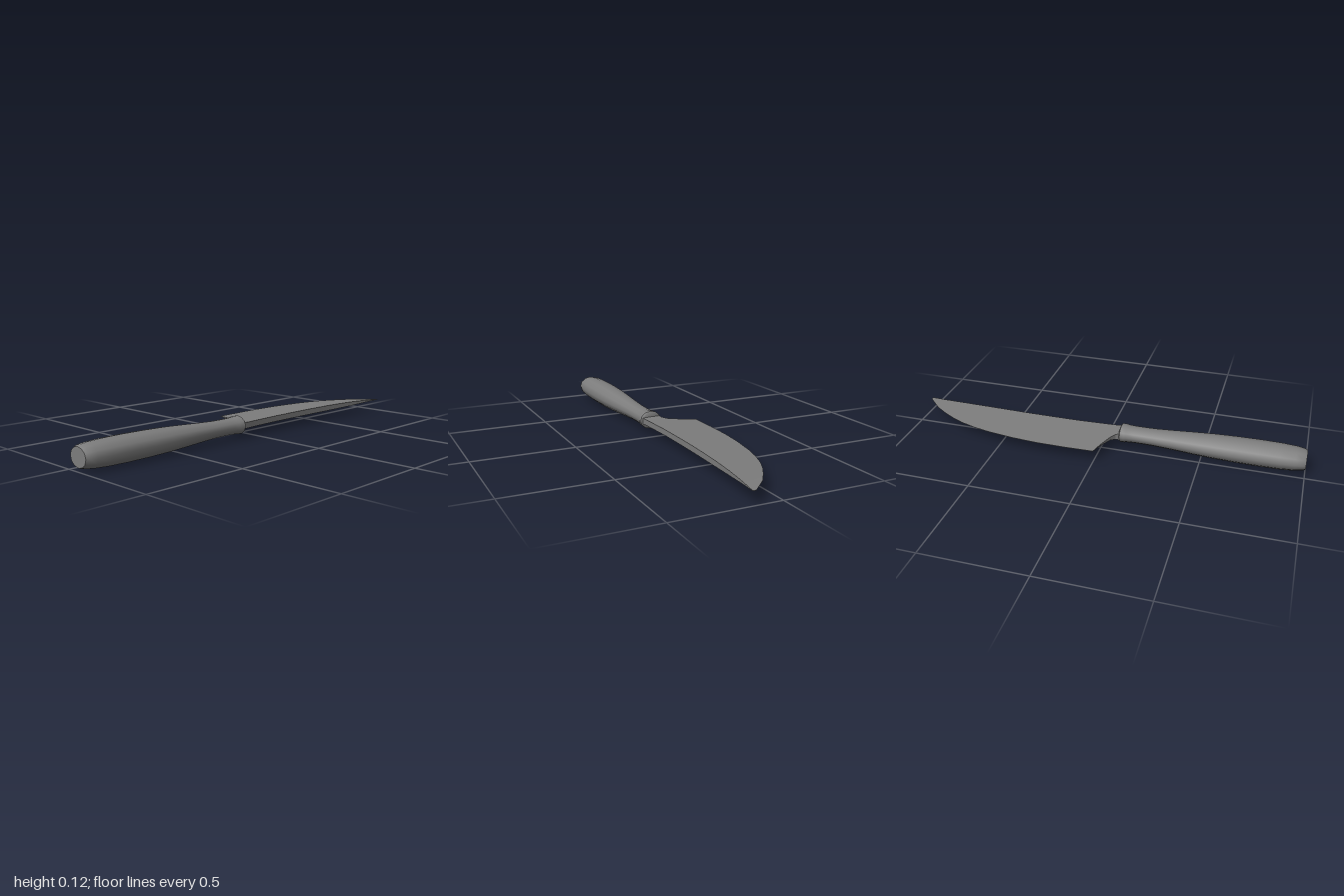
import * as THREE from 'three';
import { toCreasedNormals } from 'three/addons/utils/BufferGeometryUtils.js';

const CY = 0.063; // height of the knife's centre plane

// Skin a row of rings (counter-clockwise seen from +z, ordered from -z to +z) and cap both ends
function loft(rings, crease) {
  const n = rings[0].length, last = rings.length - 1, index = [];
  for (let i = 0; i < last; i++) {
    for (let j = 0; j < n; j++) {
      const k = (j + 1) % n;
      const a = i * n + j, b = i * n + k, c = b + n, d = a + n;
      index.push(a, b, c, a, c, d);
    }
  }
  for (let j = 1; j < n - 1; j++) {
    index.push(0, j + 1, j);
    index.push(last * n, last * n + j, last * n + j + 1);
  }
  const geometry = new THREE.BufferGeometry();
  geometry.setAttribute('position', new THREE.Float32BufferAttribute(rings.flat(2), 3));
  geometry.setIndex(index);
  return toCreasedNormals(geometry, crease);
}

// Oval handle with a lipped collar, narrow neck and full grip: [z, half width]
function handleGeometry() {
  const profile = [
    [0.085, 0.048], [0.09, 0.055], [0.11, 0.055], [0.122, 0.052], [0.16, 0.0495],
    [0.2, 0.0495], [0.26, 0.0505], [0.35, 0.056], [0.45, 0.0635], [0.55, 0.07],
    [0.66, 0.074], [0.78, 0.0755], [0.88, 0.074], [0.95, 0.069], [0.985, 0.0625], [1, 0.055],
  ];
  const sides = 12;
  return loft(profile.map(([z, r]) => Array.from({ length: sides }, (_, j) => {
    const t = (j / sides) * Math.PI * 2;
    return [0.07 + r * Math.cos(t), CY + 0.82 * r * Math.sin(t), z];
  })), 0.75);
}

// Wedge-section blade: [z, edge x, spine x, half thickness at edge, half thickness at spine]
function bladeGeometry() {
  const e = 0.0006;
  const stations = [
    [-1, 0.125, 0.141, e, 0.001],
    [-0.92, 0.046, 0.131, e, 0.0045],
    [-0.855, 0.001, 0.125, e, 0.0075],
    [-0.79, -0.037, 0.12, e, 0.01],
    [-0.73, -0.065, 0.116, e, 0.0115],
    [-0.65, -0.092, 0.112, e, 0.013],
    [-0.56, -0.113, 0.108, e, 0.014],
    [-0.42, -0.134, 0.104, e, 0.0145],
    [-0.29, -0.144, 0.103, e, 0.0145],
    [-0.15, -0.146, 0.103, e, 0.0145],
    [0, -0.143, 0.109, e, 0.0145],
    // heel sweeping up and thickening into the collar
    [0.02, -0.077, 0.11, 0.004, 0.0145],
    [0.05, -0.005, 0.112, 0.009, 0.0145],
    [0.07, 0.018, 0.113, 0.014, 0.015],
    [0.095, 0.026, 0.114, 0.019, 0.016],
  ];
  return loft(stations.map(([z, edge, spine, he, hs]) => [
    [edge, CY - he, z], [spine, CY - hs, z], [spine, CY + hs, z], [edge, CY + he, z],
  ]), 0.5);
}

export function createModel() {
  const model = new THREE.Group();
  model.name = 'knife';
  const material = new THREE.MeshStandardMaterial({ color: 0x7d7d7d });
  const parts = { handle: handleGeometry(), blade: bladeGeometry() };
  for (const [name, geometry] of Object.entries(parts)) {
    const mesh = new THREE.Mesh(geometry, material);
    mesh.name = name;
    model.add(mesh);
  }
  return model;
}
